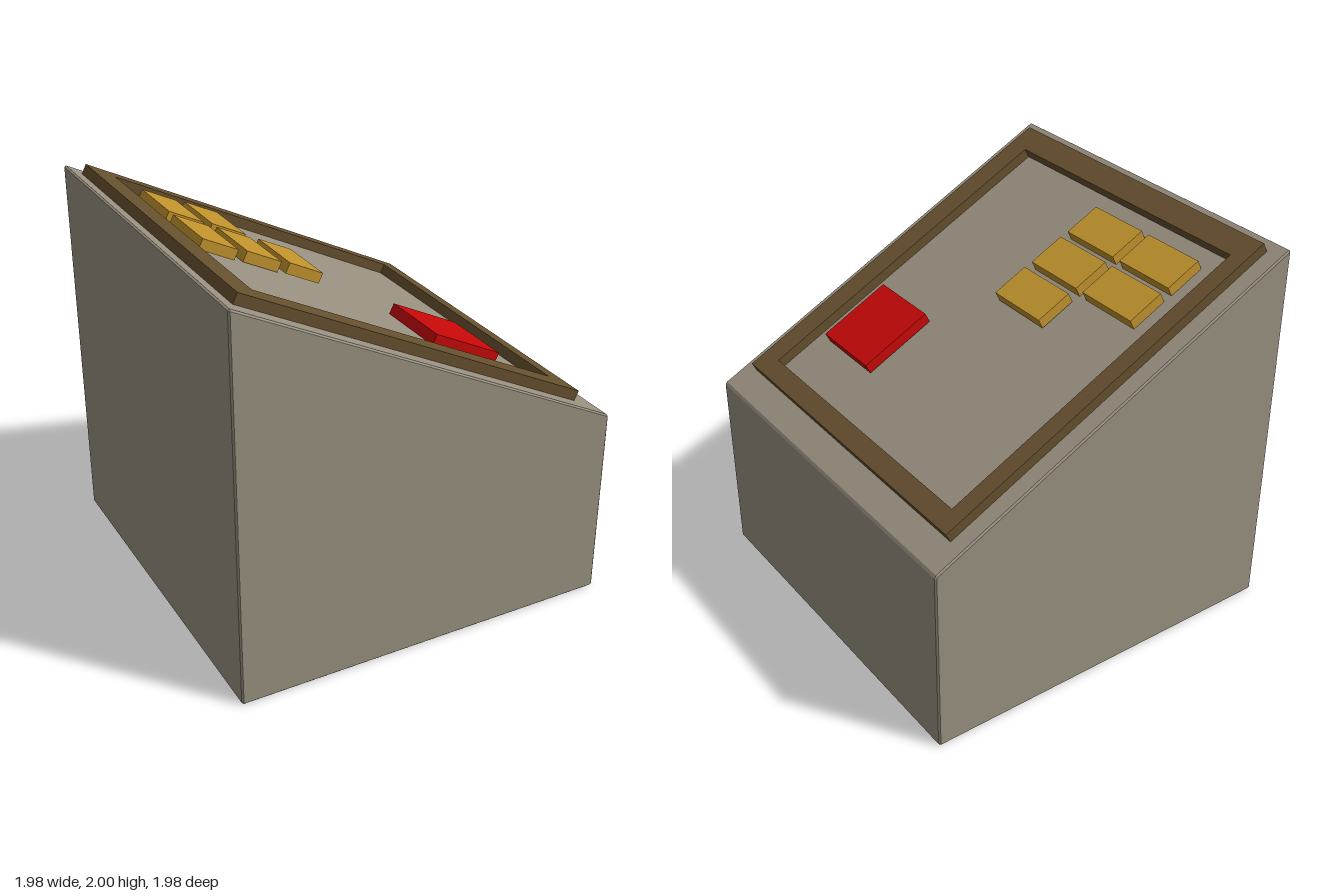
import * as THREE from 'three';

const material = (color) => new THREE.MeshStandardMaterial({ color, flatShading: true });
const stone = material(0x989080);
const wood = material(0x66502f);
const gold = material(0xc2932d);
const red = material(0xc80808);

const THICK = 0.056; // shared thickness of frame and tiles

function addMesh(parent, name, geometry, mat) {
  const mesh = new THREE.Mesh(geometry, mat);
  mesh.name = name;
  parent.add(mesh);
  return mesh;
}

// Polygon with every corner cut off by a small distance
function chamferedShape(corners, cut) {
  const points = [];
  corners.forEach((p, i) => {
    const n = corners.length;
    for (const q of [corners[(i + n - 1) % n], corners[(i + 1) % n]]) {
      points.push(p.clone().add(q.clone().sub(p).setLength(cut)));
    }
  });
  return new THREE.Shape(points);
}

// Rectangle outline, x along the slope and z across it
function rectangle(Type, x0, x1, z0, z1) {
  return new Type([[x0, -z1], [x1, -z1], [x1, -z0], [x0, -z0]].map(([x, y]) => new THREE.Vector2(x, y)));
}

export function createModel() {
  const model = new THREE.Group();
  model.name = 'slopedConsole';

  // Wedge-topped body with finely bevelled edges
  const corners = [[-0.99, 0], [0.99, 0], [0.99, 0.995], [-0.99, 1.985]].map(([x, y]) => new THREE.Vector2(x, y));
  const bevel = 0.008;
  const body = new THREE.ExtrudeGeometry(chamferedShape(corners, 0.01), {
    depth: 1.98 - 2 * bevel, bevelEnabled: true, bevelSegments: 1,
    bevelSize: bevel, bevelThickness: bevel, bevelOffset: -bevel,
  });
  body.translate(0, 0, -0.99 + bevel);
  addMesh(model, 'body', body, stone);

  // Everything on the slope: local x runs downhill, local y points out of it
  const panel = new THREE.Group();
  panel.name = 'slopedPanel';
  panel.position.y = 1.486;
  panel.rotation.z = -Math.atan(0.5);
  model.add(panel);

  // Raised rim
  const outline = rectangle(THREE.Shape, -1.04, 0.945, -0.897, 0.895);
  outline.holes.push(rectangle(THREE.Path, -0.906, 0.841, -0.807, 0.772));
  const rim = new THREE.ExtrudeGeometry(outline, { depth: THICK, bevelEnabled: false });
  rim.rotateX(-Math.PI / 2);
  addMesh(panel, 'frame', rim, wood);

  // Flat tile given by its extents and the height of its top
  function addTile(name, x0, x1, z0, z1, top, mat) {
    const tile = addMesh(panel, name, new THREE.BoxGeometry(x1 - x0, THICK, z1 - z0), mat);
    tile.position.set((x0 + x1) / 2, top - THICK / 2, (z0 + z1) / 2);
  }

  // Five keys: two columns, the second one row longer
  [[-0.7, 2], [-0.3, 3]].forEach(([z, rows], column) => {
    for (let row = 0; row < rows; row++) {
      const x = -0.8 + row * 0.244;
      addTile(`key${column + 1}_${row + 1}`, x, x + 0.198, z, z + 0.35, 0.057 + row * 0.0065, gold);
    }
  });

  // Large button near the low end
  addTile('redButton', 0.186, 0.583, 0.27, 0.665, 0.074, red);

  return model;
}
